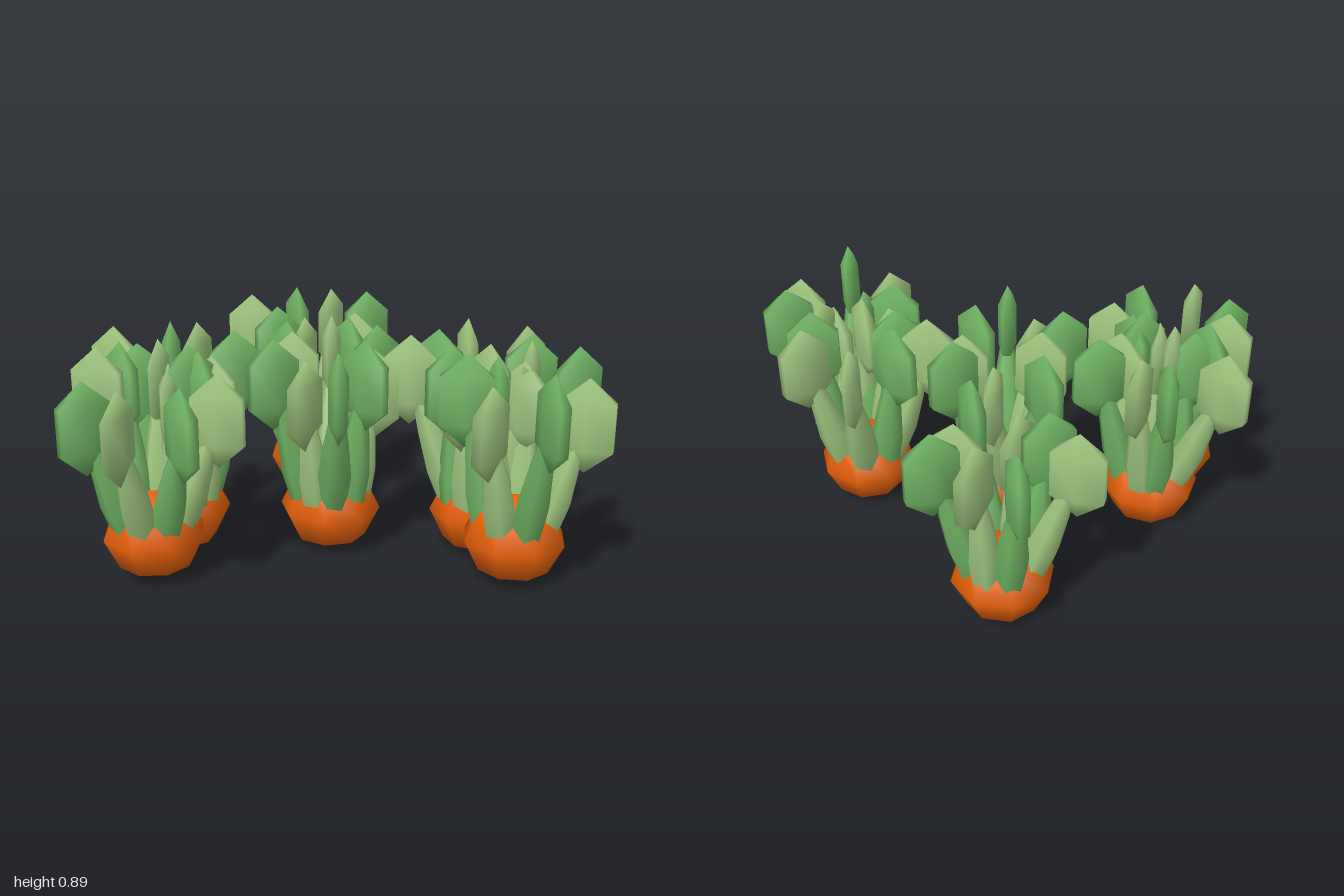
import * as THREE from 'three';

const named = (name, color) => {
  const m = new THREE.MeshStandardMaterial({ color });
  m.name = name;
  return m;
};

// Each plant: centre, height of its dark front leaves, then per leaf
// its shade (d = dark, l = light), compass angle in degrees and reach
const PLANTS = [
  { x: 0.04, z: -0.55, frontDark: 0.68, shades: 'dldldldl',
    angles: [257, 301, 341, 19, 69, 118, 159, 200],
    reach: [0.32, 0.29, 0.36, 0.28, 0.4, 0.22, 0.28, 0.38] },
  { x: 0.02, z: 0.08, frontDark: 0.71, shades: 'dldlddldl',
    angles: [236, 279, 331, 13, 54, 93, 127, 158, 199],
    reach: [0.36, 0.4, 0.33, 0.27, 0.29, 0.41, 0.3, 0.35, 0.25] },
  { x: -0.58, z: 0.02, frontDark: 0.68, shades: 'dldldldl',
    angles: [268, 296, 350, 36, 63, 98, 170, 217],
    reach: [0.33, 0.32, 0.34, 0.27, 0.29, 0.28, 0.24, 0.39] },
  { x: -0.685, z: 0.26, frontDark: 0.64, shades: 'ldldldld',
    angles: [209, 241, 283, 330, 23, 66, 112, 151],
    reach: [0.31, 0.3, 0.3, 0.28, 0.37, 0.38, 0.38, 0.36] },
  { x: 0.605, z: 0.21, frontDark: 0.68, shades: 'lldldldld',
    angles: [271, 324, 358, 53, 93, 133, 166, 194, 223],
    reach: [0.4, 0.35, 0.28, 0.28, 0.3, 0.27, 0.25, 0.39, 0.31] },
  { x: 0.665, z: 0.485, frontDark: 0.71, shades: 'dldldll',
    angles: [339, 28, 85, 134, 195, 247, 295],
    reach: [0.36, 0.34, 0.38, 0.33, 0.3, 0.29, 0.32] },
];

const LEAF_HALF = 0.1; // half the radial width of a leaf

export function createModel() {
  const orange = named('bulb orange', 0xe8610a);
  const greens = { d: named('dark green', 0x6fb363), l: named('light green', 0x9fc67f) };

  // Faceted bulb standing on the ground
  const bulbGeo = new THREE.SphereGeometry(1, 8, 4);
  bulbGeo.scale(0.2, 0.17, 0.2);
  bulbGeo.translate(0, 0.17, 0);

  // Six-sided lozenge leaf: wide along x, thin along z, blunt at both ends
  const leafGeo = new THREE.SphereGeometry(1, 6, 3);
  leafGeo.rotateY(Math.PI / 6);
  leafGeo.scale(LEAF_HALF / 0.75, 0.18, 0.044);

  // Broad stalk of unit height, swelling low down and narrowing to its top
  const stalkGeo = new THREE.LatheGeometry(
    [[0.058, 0], [0.066, 0.3], [0.048, 0.65], [0.02, 1]].map(([r, h]) => new THREE.Vector2(r, h)), 6);

  const up = new THREE.Vector3(0, 1, 0);

  // Stalk between two points
  const makeStalk = (from, to, material) => {
    const dir = to.clone().sub(from);
    const mesh = new THREE.Mesh(stalkGeo, material);
    mesh.name = 'stalk';
    mesh.position.copy(from);
    mesh.scale.y = dir.length();
    mesh.quaternion.setFromUnitVectors(up, dir.normalize());
    return mesh;
  };

  const model = new THREE.Group();
  model.name = 'plantCluster';

  PLANTS.forEach(({ x, z, frontDark, shades, angles, reach }, index) => {
    const plant = new THREE.Group();
    plant.name = 'plant';
    plant.position.set(x, 0, z);

    const bulb = new THREE.Mesh(bulbGeo, orange);
    bulb.name = 'bulb';
    bulb.rotation.y = 0.2 + index * 0.3;
    plant.add(bulb);

    angles.forEach((degrees, i) => {
      const material = greens[shades[i]];
      const r = reach[i] - LEAF_HALF;
      // Leaves on the front half hang a little lower
      const frontHeight = shades[i] === 'l' ? 0.64 : frontDark;
      const y = degrees < 180 ? frontHeight : 0.7;

      // Each shoot is built along +x and swung to its direction
      const shoot = new THREE.Group();
      shoot.name = 'shoot';
      shoot.rotation.y = -THREE.MathUtils.degToRad(degrees);

      const leaf = new THREE.Mesh(leafGeo, material);
      leaf.name = 'leaf';
      leaf.position.set(r, y, 0);

      const base = new THREE.Vector3(0.11, 0.21, 0);
      const end = new THREE.Vector3(r - 0.02, y - 0.03, 0);
      shoot.add(leaf, makeStalk(base, end, material));
      plant.add(shoot);
    });
    model.add(plant);
  });
  return model;
}
